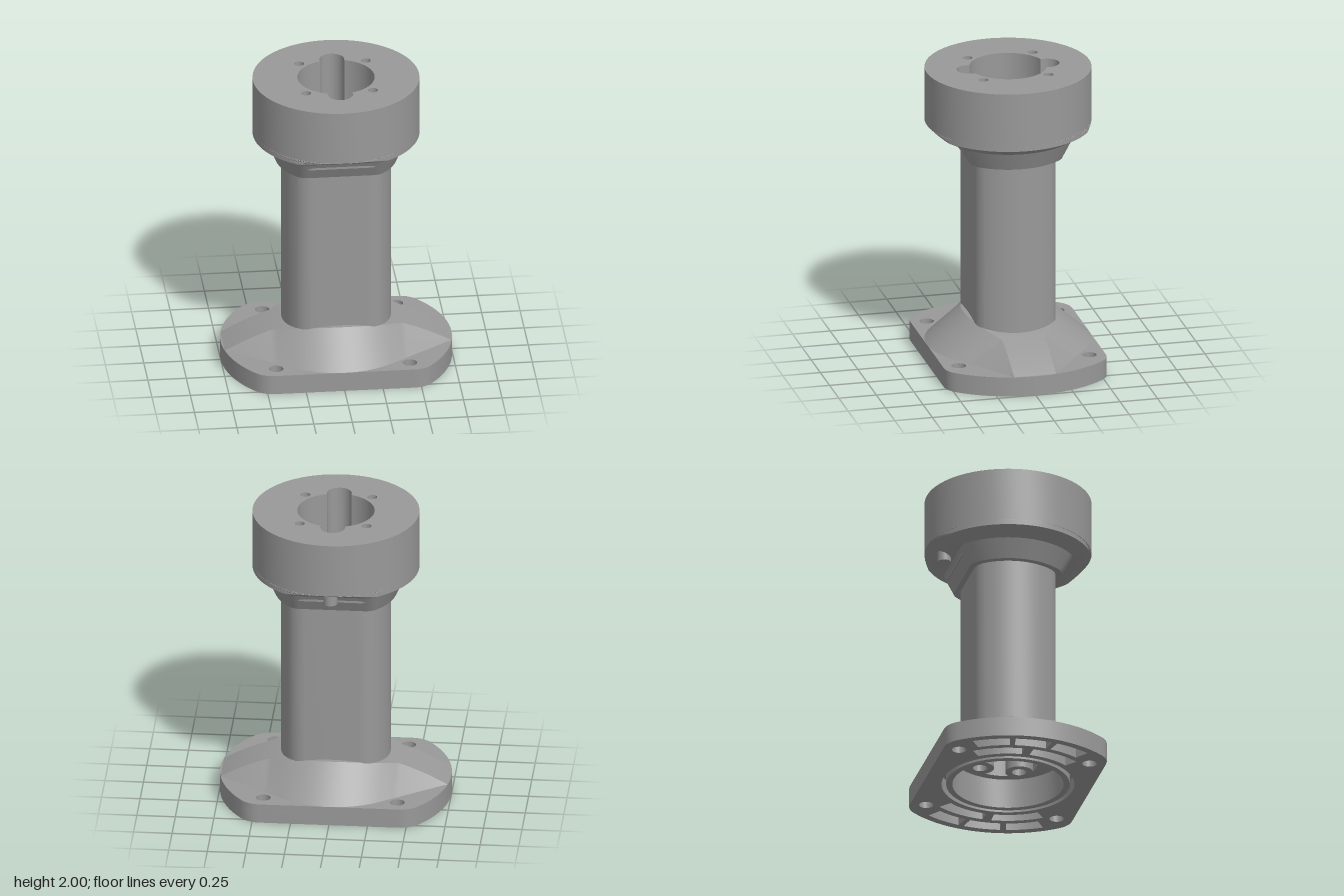
import * as THREE from 'three';
import { toCreasedNormals } from 'three/addons/utils/BufferGeometryUtils.js';

const PI = Math.PI;

// Circle of radius R cut flat at z = +-Z, with rounded corners
function clipped(R, Z, fillet = 0.05) {
  const a = Math.asin(Math.min(1, Z / R));
  const cx = R * Math.cos(a);
  const f = Math.min(fillet, cx * 0.5);
  const a0 = a - f / R;
  const quarter = [];
  for (let i = 0; i <= 24; i++) {
    const t = (a0 * i) / 24;
    quarter.push(new THREE.Vector2(R * Math.cos(t), R * Math.sin(t)));
  }
  const corner = new THREE.QuadraticBezierCurve(
    quarter[24].clone(), new THREE.Vector2(cx, Z), new THREE.Vector2(cx - f, Z));
  quarter.push(...corner.getPoints(6).slice(1));
  const half = [...quarter, ...quarter.slice().reverse().map(p => new THREE.Vector2(-p.x, p.y))];
  const lower = half.slice(1, -1).reverse().map(p => new THREE.Vector2(p.x, -p.y));
  return [...half, ...lower];
}

const circle = (r, x = 0, y = 0) => new THREE.Path().absarc(x, y, r, 0, PI * 2, false).getPoints(32);

// Upright prism between two heights, with holes
function prism(outer, holes, y0, y1) {
  const shape = new THREE.Shape(outer);
  shape.holes = holes.map(h => new THREE.Path(h));
  const g = new THREE.ExtrudeGeometry(shape, { depth: y1 - y0, bevelEnabled: false, curveSegments: 24 });
  g.rotateX(-PI / 2).translate(0, y0, 0);
  return toCreasedNormals(g, 0.5);
}

// Skin between rows of points; 'skip' leaves one strip open
function skin(rows, closed, skip = -1) {
  const n = rows[0].length;
  const index = [];
  for (let i = 0; i < rows.length - 1; i++) {
    for (let j = 0; j < (closed ? n : n - 1); j++) {
      if (j === skip) continue;
      const k = (j + 1) % n;
      const a = i * n + j, b = i * n + k, c = a + n, d = b + n;
      if (closed) index.push(a, b, d, a, d, c);
      else index.push(a, c, d, a, d, b);
    }
  }
  const g = new THREE.BufferGeometry();
  g.setAttribute('position', new THREE.Float32BufferAttribute(rows.flat(2), 3));
  g.setIndex(index);
  return toCreasedNormals(g, 0.45);
}

// Curved slot outline between two radii and two angles in degrees
function arcSlot(r0, r1, d0, d1) {
  const a0 = (d0 * PI) / 180, a1 = (d1 * PI) / 180;
  return new THREE.Path().absarc(0, 0, r1, a0, a1, false).absarc(0, 0, r0, a1, a0, true).getPoints(10);
}

const corners = (x, z) => [[x, z], [-x, z], [-x, -z], [x, -z]];

export function createModel() {
  const group = new THREE.Group();
  const grey = new THREE.MeshStandardMaterial({ color: 0x999999, side: THREE.DoubleSide });
  grey.name = 'castGrey';
  const add = (name, geometry) => {
    const m = new THREE.Mesh(geometry, grey);
    m.name = name;
    group.add(m);
    return m;
  };

  // Flange: ribbed underside with a closed plate above it
  const flange = clipped(0.75, 0.54, 0.07);
  const bolts = corners(0.435, 0.435).map(([x, z]) => circle(0.047, x, z));
  const pockets = [];
  for (const turn of [0, 180]) {
    for (const [a, b] of [[-33, -13], [-10, 10], [13, 33]]) pockets.push(arcSlot(0.6, 0.7, turn + a, turn + b));
    for (const [a, b] of [[-38, -3], [3, 38]]) pockets.push(arcSlot(0.47, 0.56, turn + a, turn + b));
  }
  add('flangeRibs', prism(flange, [circle(0.43), ...bolts, ...pockets], 0, 0.1));
  add('flangePlate', prism(flange, [circle(0.37), ...bolts], 0.1, 0.13));
  add('spigotRing', prism(circle(0.4), [circle(0.36)], 0, 0.22));

  // Sloping shoulder: cone in the middle drawn out to both ends
  const rows = [];
  const end = 0.737, tx = 0.315, tz = 0.438;
  for (let i = -48; i <= 48; i++) {
    const x = (end * i) / 48, ax = Math.abs(x);
    const h = 0.34 - 0.21 * (x / end) ** 2;
    const foot = ax < tx ? Math.sqrt(0.54 ** 2 - x * x)
      : Math.max(0.14, tz - ((ax - tx) * (tz - 0.14)) / (0.73 - tx));
    const w = 0.14 + 0.16 * Math.max(0, 1 - (x / 0.42) ** 2);
    const m = ax < 0.33 ? Math.min(0.245, Math.sqrt(0.33 ** 2 - x * x)) : 0;
    rows.push([[x, 0.13, foot], [x, h, w], [x, h, Math.min(m, w)],
      [x, h, -Math.min(m, w)], [x, h, -w], [x, 0.13, -foot]]);
  }
  add('shoulder', skin(rows, false, 2));

  // Hollow column with a floor and four screw bosses at its foot
  const inner = clipped(0.305, 0.22, 0.04);
  add('recessFloor', prism(circle(0.37), [inner], 0.2, 0.24));
  add('column', prism(clipped(0.355, 0.27, 0.06), [inner], 0.23, 1.55));
  for (const [x, z] of corners(0.22, 0.13)) {
    add('screwBoss', prism(circle(0.09, x, z), [circle(0.047, x, z)], 0.2, 0.3));
  }

  // Collar underside: rows of [height, radius, flat distance]
  const levels = [[1.43, 0.395, 0.305], [1.553, 0.45, 0.37], [1.605, 0.54, 0.472]];
  for (const y of [1.612, 1.62, 1.628, 1.634, 1.638, 1.64]) levels.push([y, 0.54, 0.54 - (1.64 - y) * 1.954]);
  add('collarUnderside', skin(levels.map(([y, R, Z]) =>
    clipped(R, Z, 0.04).map(p => [p.x, y, -p.y])), true));
  add('collarBottom', prism(clipped(0.395, 0.305, 0.04), [inner], 1.43, 1.45));
  add('collarFloor', prism(clipped(0.42, 0.355), [inner], 1.51, 1.555));

  // Collar body with a slotted bore and blind screw holes
  const d = Math.asin(0.08 / 0.25);
  const bore = new THREE.Path()
    .absarc(0, 0, 0.25, d - PI / 2, PI / 2 - d, false)
    .absarc(0, 0.26, 0.08, 0, PI, false)
    .absarc(0, 0, 0.25, PI / 2 + d, 1.5 * PI - d, false)
    .absarc(0, -0.26, 0.08, PI, 2 * PI, false)
    .getPoints(20);
  const screws = corners(0.217, 0.217).map(([x, z]) => circle(0.032, x, z));
  add('collarBody', prism(clipped(0.54, 0.54), [bore, ...screws], 1.64, 2));
  add('boreSleeve', prism(circle(0.36), [bore], 1.55, 1.645));

  // Small locating pin under the back of the collar
  const pin = add('locatingPin', new THREE.CylinderGeometry(0.045, 0.045, 0.12, 24));
  pin.position.set(0, 1.595, -0.425);

  return group;
}
